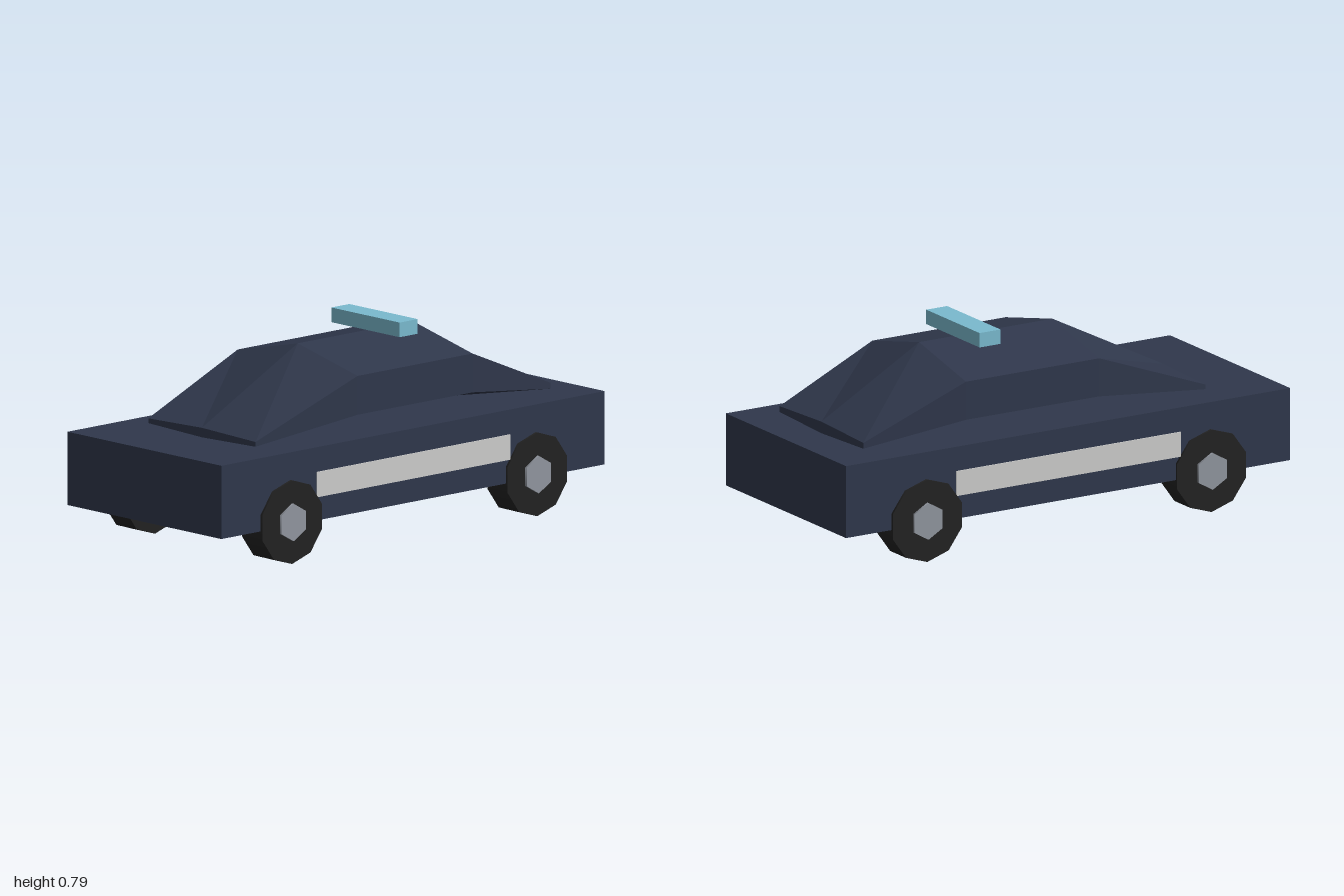
import * as THREE from 'three';

const paint = (name, color) => {
  const m = new THREE.MeshStandardMaterial({ color });
  m.name = name;
  return m;
};

// Low-poly loft through hexagonal cross-sections, listed front to back
function hexLoft(sections) {
  const rings = sections.map(({ z, w, mid, r }) => [
    [0, r], [-w, r / 2], [-w, -r / 2], [0, -r], [w, -r / 2], [w, r / 2],
  ].map(([x, y]) => [x, mid + y, z]));
  const pos = [];
  const tri = (...points) => points.forEach((p) => pos.push(...p));
  for (let i = 0; i < rings.length - 1; i++) {
    for (let k = 0; k < 6; k++) {
      const n = (k + 1) % 6;
      const a = rings[i][k], b = rings[i][n], c = rings[i + 1][n], d = rings[i + 1][k];
      tri(a, d, c);
      tri(a, c, b);
    }
  }
  const front = rings[0], back = rings[rings.length - 1];
  for (let k = 1; k < 5; k++) {
    tri(front[0], front[k], front[k + 1]);
    tri(back[0], back[k + 1], back[k]);
  }
  const g = new THREE.BufferGeometry();
  g.setAttribute('position', new THREE.Float32BufferAttribute(pos, 3));
  g.computeVertexNormals();
  return g;
}

export function createModel() {
  const car = new THREE.Group();
  car.name = 'patrolCar';
  const navy = paint('navy paint', 0x2f374b);
  const rubber = paint('black rubber', 0x222222);
  const steel = paint('grey steel', 0x90959e);
  const white = paint('pale stripe', 0xcccccb);
  const blue = paint('light blue', 0x7abace);

  const add = (name, geometry, material, x, y, z, parent = car) => {
    const mesh = new THREE.Mesh(geometry, material);
    mesh.name = name;
    mesh.position.set(x, y, z);
    parent.add(mesh);
    return mesh;
  };

  // Slab body
  add('body', new THREE.BoxGeometry(0.856, 0.285, 2), navy, 0, 0.2905, 0);

  // Faceted cabin
  add('cabin', hexLoft([
    { z: 0.7, w: 0.298, mid: 0.4525, r: 0.0185 },
    { z: 0.2, w: 0.333, mid: 0.576, r: 0.151 },
    { z: -0.4, w: 0.333, mid: 0.576, r: 0.151 },
    { z: -0.84, w: 0.298, mid: 0.457, r: 0.023 },
  ]), navy, 0, 0, 0);

  // Roof light bar
  add('lightBar', new THREE.BoxGeometry(0.38, 0.057, 0.094), blue, 0, 0.757, -0.201);

  // Wheels and door stripes, mirrored left and right
  const tyre = new THREE.CylinderGeometry(0.163, 0.163, 0.113, 10).rotateZ(Math.PI / 2);
  const hub = new THREE.CylinderGeometry(0.073, 0.073, 0.131, 6).rotateZ(Math.PI / 2);
  const stripe = new THREE.BoxGeometry(0.008, 0.098, 1.01);
  for (const [side, s] of [['left', 1], ['right', -1]]) {
    add(`${side}Stripe`, stripe, white, s * 0.429, 0.288, 0);
    for (const [end, z] of [['Front', 0.64], ['Rear', -0.64]]) {
      const wheel = new THREE.Group();
      wheel.name = `${side}${end}Wheel`;
      wheel.position.set(s * 0.381, 0.163, z);
      add('tyre', tyre, rubber, 0, 0, 0, wheel);
      add('hub', hub, steel, 0, 0, 0, wheel);
      car.add(wheel);
    }
  }
  // Vertices of the wheels point straight up and down
  tyre.computeBoundingBox();
  if (tyre.boundingBox.max.y < 0.162) tyre.rotateX(Math.PI / 10);
  hub.computeBoundingBox();
  if (hub.boundingBox.max.y < 0.072) hub.rotateX(Math.PI / 6);
  return car;
}
